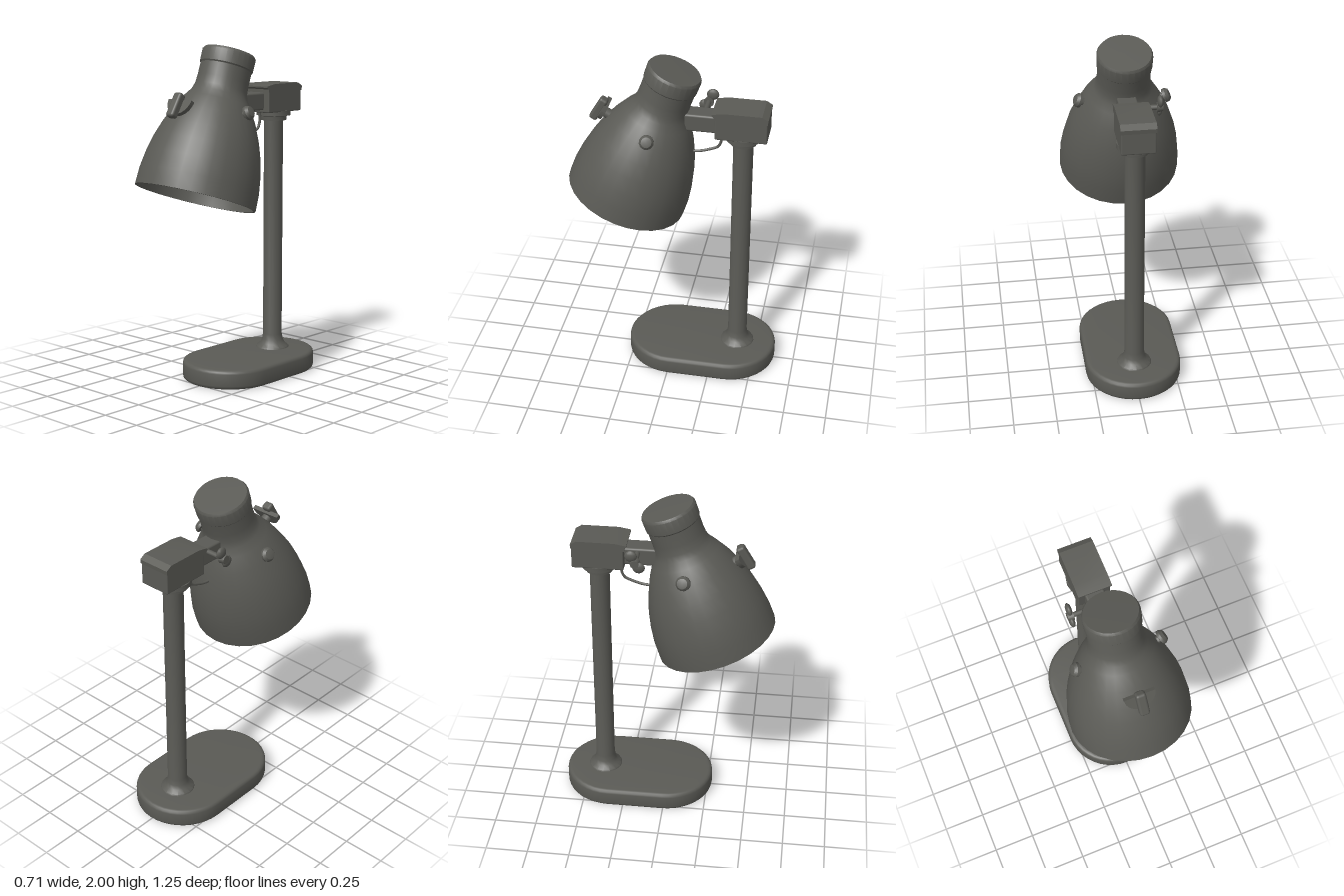
import * as THREE from 'three';
import { toCreasedNormals } from 'three/addons/utils/BufferGeometryUtils.js';
import { RoundedBoxGeometry } from 'three/addons/geometries/RoundedBoxGeometry.js';

const grey = new THREE.MeshStandardMaterial({ color: 0x5a5a55 });
grey.name = 'warm grey';

function add(parent, name, geometry, x = 0, y = 0, z = 0) {
  const mesh = new THREE.Mesh(geometry, grey);
  mesh.name = name;
  mesh.position.set(x, y, z);
  parent.add(mesh);
  return mesh;
}

// Turned part from [radius, height] pairs, keeping hard edges crisp
function turned(points, segments = 24) {
  const profile = points.map(([r, y]) => new THREE.Vector2(r, y));
  return toCreasedNormals(new THREE.LatheGeometry(profile, segments), 0.6);
}

// Side profile of [z, y] pairs, extruded across x and centred on x = 0
function sideProfile(points, width) {
  const shape = new THREE.Shape(points.map(([z, y]) => new THREE.Vector2(z, y)));
  const geometry = new THREE.ExtrudeGeometry(shape, { depth: width, bevelEnabled: false });
  return toCreasedNormals(geometry.translate(0, 0, -width / 2).rotateY(-Math.PI / 2), 0.5);
}

function buildBase(parent) {
  // Stadium plate with rounded edges
  const bevel = 0.022, r = 0.285 - bevel;
  const shape = new THREE.Shape();
  shape.absarc(0, 0.345, r, 0, Math.PI, false);
  shape.absarc(0, 0.005, r, Math.PI, Math.PI * 2, false);
  const plate = new THREE.ExtrudeGeometry(shape, {
    depth: 0.115 - 2 * bevel, bevelThickness: bevel, bevelSize: bevel, bevelSegments: 3, curveSegments: 10,
  });
  plate.rotateX(-Math.PI / 2).translate(0, bevel, 0);
  add(parent, 'base', toCreasedNormals(plate, 0.6));

  // Pole with a flared foot and a stepped collar under the head
  add(parent, 'pole', turned([
    [0, 0.11], [0.105, 0.11], [0.1, 0.122], [0.076, 0.14], [0.065, 0.165], [0.058, 0.2], [0.058, 1.54],
  ], 16), 0, 0, -0.393);
  add(parent, 'collar', turned([
    [0, 1.53], [0.078, 1.53], [0.08, 1.555], [0.104, 1.56], [0.104, 1.59], [0, 1.59],
  ], 16), 0, 0, -0.393);
}

function buildHead(parent) {
  add(parent, 'headBlock', new RoundedBoxGeometry(0.192, 0.132, 0.297, 2, 0.008), 0, 1.65, -0.388);
  add(parent, 'headLid', sideProfile([
    [-0.537, 1.708], [-0.235, 1.708], [-0.235, 1.725], [-0.222, 1.735], [-0.222, 1.743],
    [-0.29, 1.755], [-0.505, 1.755], [-0.54, 1.733],
  ], 0.198));
  add(parent, 'arm', new RoundedBoxGeometry(0.112, 0.105, 0.24, 2, 0.012), 0, 1.653, -0.15);

  // Wing nut on the right side of the arm
  const nut = new THREE.Group();
  nut.name = 'wingNut';
  nut.position.set(-0.172, 1.68, -0.165);
  parent.add(nut);
  add(nut, 'wingNutRod', new THREE.CylinderGeometry(0.015, 0.015, 0.14, 10).rotateZ(Math.PI / 2), 0.07);
  add(nut, 'wingNutHub', new THREE.CylinderGeometry(0.024, 0.03, 0.035, 12).rotateZ(Math.PI / 2));
  for (const s of [-1, 1]) {
    const wing = add(nut, 'wingNutWing', new THREE.SphereGeometry(1, 12, 8), 0, s > 0 ? 0.045 : -0.025, s * -0.022);
    wing.scale.set(0.017, 0.034, 0.036);
  }

  // Cable sagging from the head to the back of the shade
  const path = new THREE.CatmullRomCurve3([
    [-0.265, 1.59], [-0.268, 1.54], [-0.25, 1.49], [-0.2, 1.465], [-0.14, 1.447], [-0.09, 1.443],
  ].map(([z, y]) => new THREE.Vector3(0, y, z)));
  add(parent, 'cable', new THREE.TubeGeometry(path, 24, 0.008, 8));
}

function buildShade(parent) {
  const shade = new THREE.Group();
  shade.name = 'shadeAssembly';
  shade.position.set(0, 1.125, 0.289);
  shade.rotation.x = THREE.MathUtils.degToRad(-19.5);
  parent.add(shade);

  // Hollow bell: inner wall runs down to the rim, outer wall runs back up
  const outer = [
    [0.356, 0], [0.353, 0.1], [0.339, 0.2], [0.316, 0.3], [0.286, 0.39], [0.242, 0.49],
    [0.197, 0.57], [0.168, 0.612], [0.155, 0.65], [0.152, 0.7], [0.152, 0.79],
  ];
  const inner = outer.slice(0, -1).map(([r, y]) => [r - 0.012, y]).reverse();
  add(shade, 'shade', turned([[0, 0.7], ...inner, ...outer], 28));
  add(shade, 'cap', turned([
    [0, 0.775], [0.15, 0.775], [0.158, 0.785], [0.159, 0.858], [0.15, 0.872], [0, 0.876],
  ], 28));

  // Domed screws on either side
  for (const s of [-1, 1]) {
    const screw = add(shade, 'sideScrew', turned([
      [0, -0.04], [0.022, -0.04], [0.022, 0.005], [0.042, 0.01], [0.042, 0.026], [0.03, 0.042], [0, 0.048],
    ], 12), s * 0.235, 0.515, 0);
    screw.rotation.z = -s * 1.1;
  }

  // Front clip: half-disc wings, an upright bar and a short stem
  const clip = new THREE.Group();
  clip.name = 'frontClip';
  clip.position.set(0, 0.455, 0.305);
  clip.rotation.x = -0.2;
  shade.add(clip);
  const half = new THREE.Shape();
  half.absarc(0, 0, 0.09, Math.PI, Math.PI * 2, false);
  half.closePath();
  const wings = new THREE.ExtrudeGeometry(half, { depth: 0.025, bevelEnabled: false, curveSegments: 12 });
  add(clip, 'clipWings', toCreasedNormals(wings, 0.6), 0, 0.045, -0.02);
  add(clip, 'clipBar', new RoundedBoxGeometry(0.058, 0.15, 0.05, 2, 0.015), 0, 0, 0.02);
  add(clip, 'clipStem', new THREE.CylinderGeometry(0.03, 0.03, 0.07, 12).rotateX(Math.PI / 2), 0, 0, -0.03);
}

export function createModel() {
  const lamp = new THREE.Group();
  lamp.name = 'deskLamp';
  buildBase(lamp);
  buildHead(lamp);
  buildShade(lamp);
  return lamp;
}
